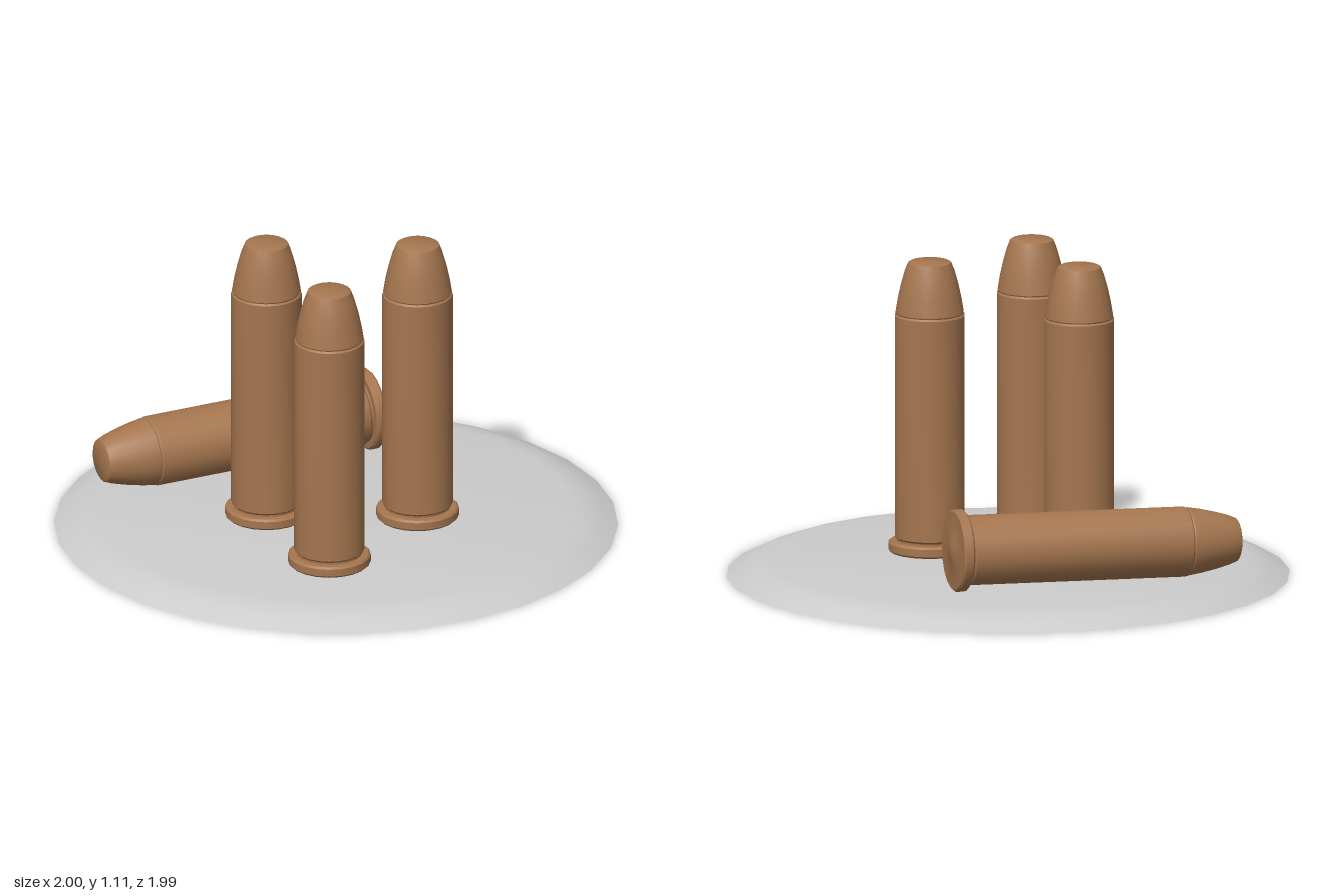
import * as THREE from 'three';
import { toCreasedNormals } from 'three/addons/utils/BufferGeometryUtils.js';

const lathe = (profile, sides) => toCreasedNormals(
  new THREE.LatheGeometry(profile.map(([r, y]) => new THREE.Vector2(r, y)), sides), 0.6);

export function createModel() {
  const model = new THREE.Group();
  const brass = new THREE.MeshStandardMaterial({ color: 0xa5764f });
  const grey = new THREE.MeshStandardMaterial({ color: 0xcccccc, side: THREE.DoubleSide });

  // Shallow round plate, open underneath
  const plate = new THREE.Mesh(
    lathe([[1, 0], [0.95, 0.025], [0.9, 0.045], [0.84, 0.054], [0, 0.056]], 30), grey);
  plate.name = 'groundDisc';
  plate.rotation.y = Math.PI / 2;
  model.add(plate);

  // Rimmed case with a low primer dome
  const caseGeometry = lathe([
    [0, -0.01], [0.035, -0.008], [0.055, 0], [0.14, 0], [0.147, 0.007],
    [0.147, 0.033], [0.14, 0.04], [0.117, 0.04], [0.117, 0.047], [0.125, 0.055],
    [0.125, 0.855], [0.119, 0.862],
  ], 20);
  // Rounded nose with a flat tip
  const noseGeometry = lathe([
    [0.119, 0.86], [0.122, 0.866], [0.114, 0.915], [0.103, 0.965],
    [0.089, 1.015], [0.077, 1.045], [0.068, 1.05], [0, 1.05],
  ], 20);

  const addCartridge = (name, x, y, z) => {
    const cartridge = new THREE.Group();
    cartridge.name = name;
    for (const [part, geometry] of [['case', caseGeometry], ['nose', noseGeometry]]) {
      const mesh = new THREE.Mesh(geometry, brass);
      mesh.name = part;
      cartridge.add(mesh);
    }
    cartridge.position.set(x, y, z);
    model.add(cartridge);
    return cartridge;
  };

  // Three upright cartridges
  [[-0.245, 0.07], [0.29, 0.07], [-0.015, 0.495]].forEach(([x, z], i) =>
    addCartridge('standingCartridge' + (i + 1), x, 0.06, z));

  // One lying behind them, resting on its rim and shoulder
  const fallen = addCartridge('fallenCartridge', 0.115, 0.203, -0.57);
  fallen.quaternion.setFromUnitVectors(
    new THREE.Vector3(0, 1, 0), new THREE.Vector3(-0.95, -0.025, 0.44).normalize());

  return model;
}
